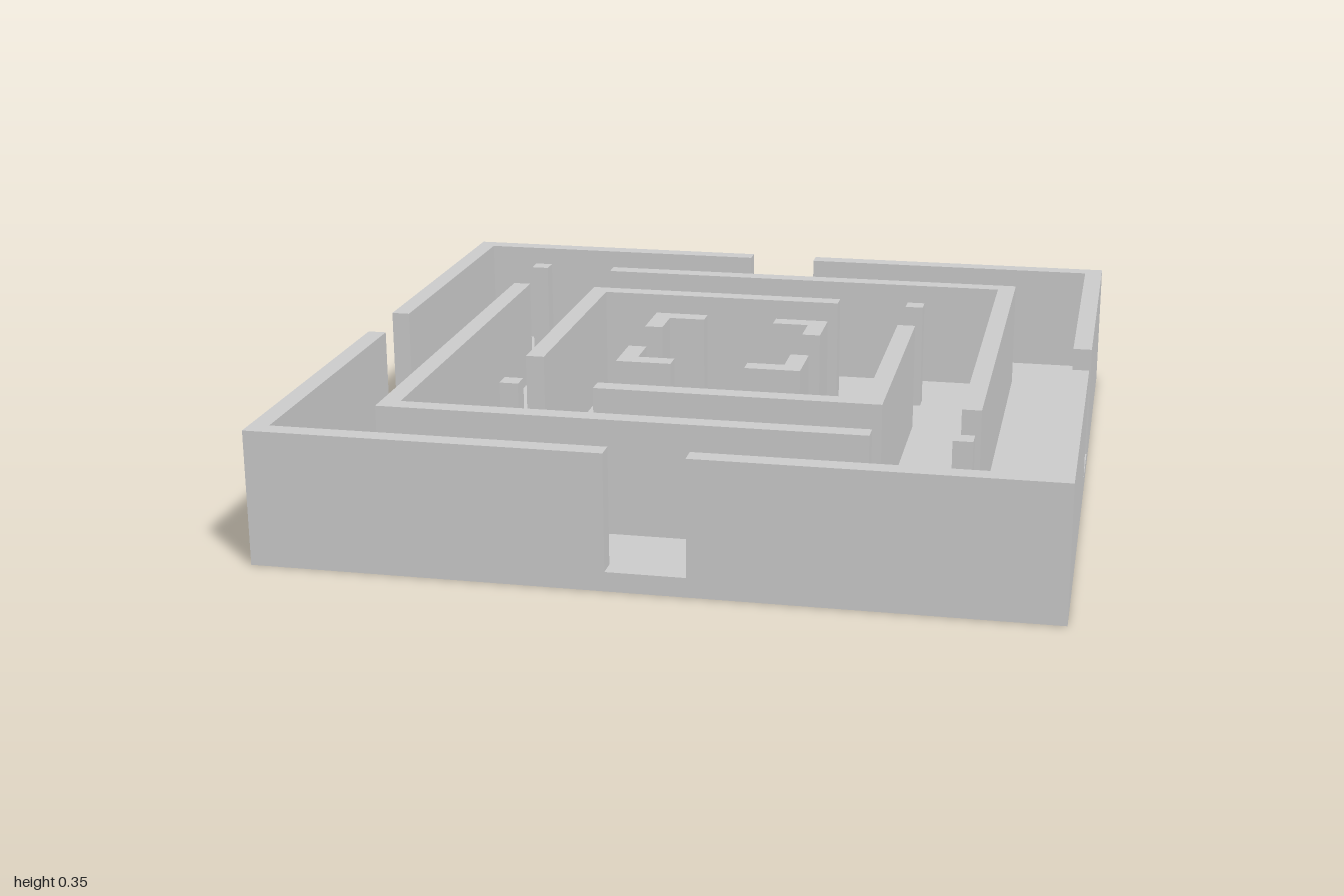
import * as THREE from 'three';

const FLOOR = 0.05, WALL = 0.3, T = 0.05;
const material = new THREE.MeshStandardMaterial({ color: 0xcccccc });

// L-shaped wall whose outer corner sits at x = r, z = -r
function cornerWall(r, arm) {
  const shape = new THREE.Shape([
    [r, r], [r - arm, r], [r - arm, r - T], [r - T, r - T], [r - T, r - arm], [r, r - arm],
  ].map(([x, y]) => new THREE.Vector2(x, y)));
  return new THREE.ExtrudeGeometry(shape, { depth: WALL, bevelEnabled: false })
    .rotateX(-Math.PI / 2).translate(0, FLOOR, 0);
}

// Square post in the same corner
function cornerPost(r) {
  return new THREE.BoxGeometry(T, WALL, T)
    .translate(r - T / 2, FLOOR + WALL / 2, -r + T / 2);
}

export function createModel() {
  const model = new THREE.Group();
  model.name = 'maze';

  const floor = new THREE.Mesh(new THREE.BoxGeometry(2, FLOOR, 2), material);
  floor.name = 'floor';
  floor.position.y = FLOOR / 2;
  model.add(floor);

  // Quarter turns: 0 back left, 1 back right, 2 front right, 3 front left
  const rings = [
    { name: 'outerWall', r: 1, arm: 0.9, walls: [0, 1, 2, 3], posts: [] },
    { name: 'secondRing', r: 0.75, arm: 1.25, walls: [0, 2], posts: [1, 3] },
    { name: 'thirdRing', r: 0.5, arm: 0.75, walls: [1, 3], posts: [0, 2] },
    { name: 'centreRing', r: 0.25, arm: 0.15, walls: [0, 1, 2, 3], posts: [] },
  ];
  for (const { name, r, arm, walls, posts } of rings) {
    const ring = new THREE.Group();
    ring.name = name;
    const place = (geometry, label, turns) => turns.forEach((turn) => {
      const mesh = new THREE.Mesh(geometry, material);
      mesh.name = label;
      mesh.rotation.y = turn * Math.PI / 2;
      ring.add(mesh);
    });
    place(cornerWall(r, arm), 'cornerWall', walls);
    place(cornerPost(r), 'cornerPost', posts);
    model.add(ring);
  }
  return model;
}
